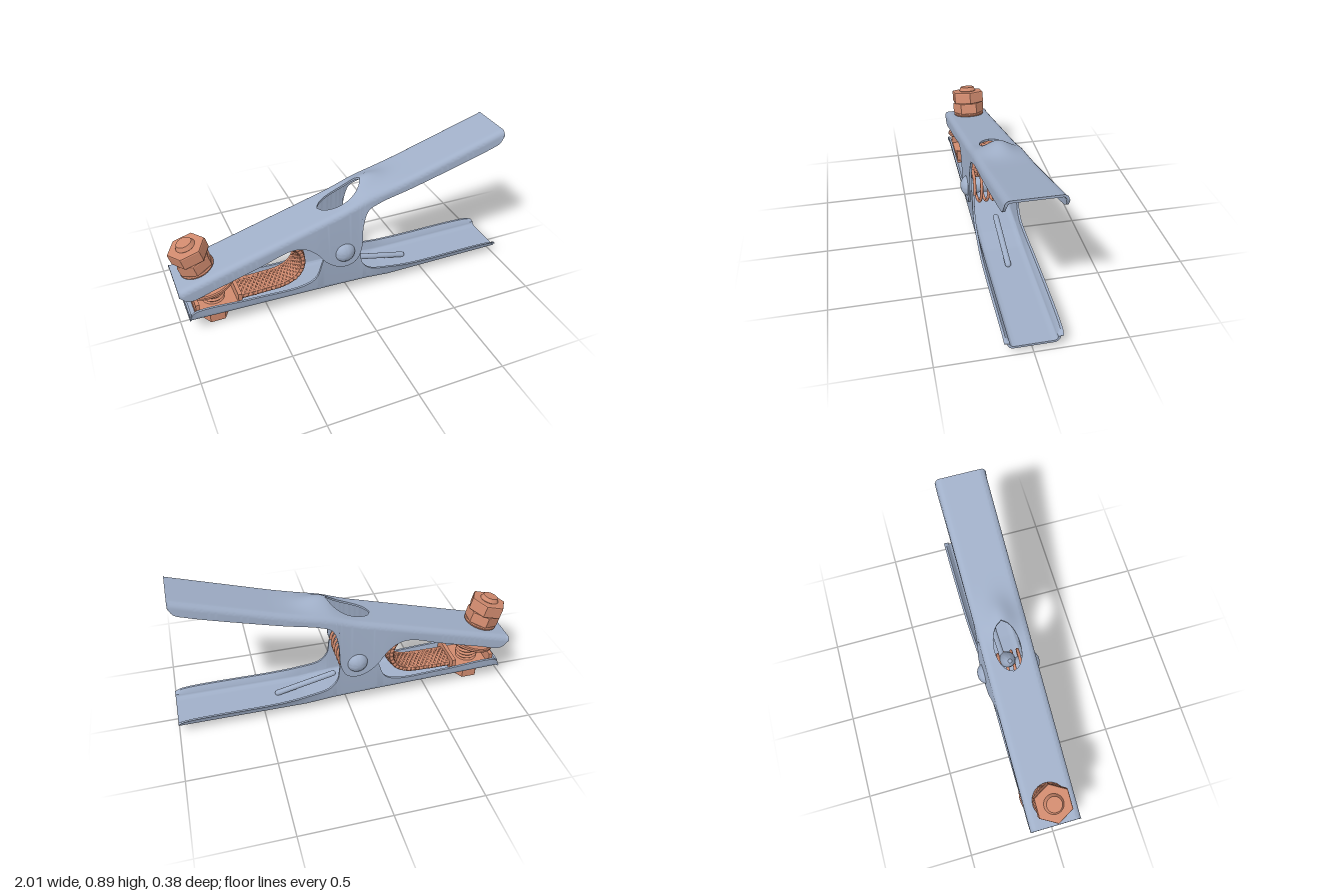
import * as THREE from 'three';
import { toCreasedNormals } from 'three/addons/utils/BufferGeometryUtils.js';

const steel = new THREE.MeshStandardMaterial({ color: 0xa0afc8, side: THREE.DoubleSide });
steel.name = 'steel';
const copper = new THREE.MeshStandardMaterial({ color: 0xd08a6e, side: THREE.DoubleSide });
copper.name = 'copper';
const V = (x, y, z = 0) => new THREE.Vector3(x, y, z);

function add(parent, name, geometry, material, x = 0, y = 0, z = 0) {
  const mesh = new THREE.Mesh(geometry, material);
  mesh.name = name;
  mesh.position.set(x, y, z);
  parent.add(mesh);
  return mesh;
}

// Piecewise linear height of a web
function lerpTable(table, x) {
  for (let i = 1; i < table.length; i++) {
    const [x0, y0] = table[i - 1], [x1, y1] = table[i];
    if (x <= x1 || i === table.length - 1) return y0 + (y1 - y0) * (x - x0) / (x1 - x0);
  }
}

// Raised ridge behind the slot of the upper arm
function ridge(x, z) {
  const u = (x - 0.12) / (x < 0.12 ? 0.1 : 0.13), v = z / 0.085;
  return 0.062 * Math.exp(-(u * u + v * v));
}

// Half width of the oval slot in the upper arm
function slot(x) {
  const u = (x + 0.025) / 0.125;
  return 0.075 * Math.sqrt(Math.max(0, 1 - u * u));
}

// Pressed channel: a web along x with flanges that end on the edge curve.
// side is 1 for flanges hanging down, -1 for flanges standing up.
function channel({ web, edge, width, side, hole = () => 0, bump = () => 0 }) {
  const T = 0.013, FLAT = 7, ARC = 6;
  const curve = new THREE.CatmullRomCurve3(edge.map(p => V(...p)), false, 'centripetal');
  const stations = curve.getSpacedPoints(200);
  const positions = [];
  for (const m of [1, -1]) {
    const rows = stations.map(({ x, y, z: flare }) => {
      const base = lerpTable(web, x);
      const depth = Math.max(0.018, side * (base - y));
      const r = Math.min(0.035, depth * 0.9), z0 = hole(x);
      const skin = t => {
        const pts = [];
        for (let j = 0; j < FLAT; j++) pts.push([z0 + (width - r - z0) * j / FLAT, t]);
        for (let j = 0; j <= ARC; j++) {
          const a = j / ARC * Math.PI / 2, q = Math.max(0.002, r - t);
          pts.push([width - r + q * Math.sin(a), r - q * Math.cos(a)]);
        }
        pts.push([width + flare - t, depth]);
        return pts;
      };
      return [...skin(0), ...skin(T).reverse()].map(([z, d]) =>
        [x, base - side * d + bump(x, z), m * z]);
    });
    const quad = (a, b, c, d) => {
      const order = side * m > 0 ? [a, b, c, a, c, d] : [a, c, b, a, d, c];
      for (const p of order) positions.push(...p);
    };
    const n = rows[0].length;
    for (let i = 0; i < rows.length - 1; i++)
      for (let j = 0; j < n; j++) {
        const k = (j + 1) % n;
        quad(rows[i][j], rows[i][k], rows[i + 1][k], rows[i + 1][j]);
      }
    // Sheet ends
    const first = rows[0], last = rows[rows.length - 1];
    for (let j = 0; j < n / 2 - 1; j++) {
      quad(first[n - 1 - j], first[n - 2 - j], first[j + 1], first[j]);
      quad(last[j], last[j + 1], last[n - 2 - j], last[n - 1 - j]);
    }
  }
  const g = new THREE.BufferGeometry();
  g.setAttribute('position', new THREE.Float32BufferAttribute(positions, 3));
  return toCreasedNormals(g, 0.7);
}

const lathe = (pts, n = 40) => toCreasedNormals(
  new THREE.LatheGeometry(pts.map(p => new THREE.Vector2(...p)), n), 0.6);

// Hexagon nut with chamfered rims, standing on y = 0
function hexNut(r, h) {
  const shape = new THREE.Shape();
  for (let i = 0; i < 6; i++) {
    const a = i * Math.PI / 3;
    shape[i ? 'lineTo' : 'moveTo']((r - 0.008) * Math.cos(a), (r - 0.008) * Math.sin(a));
  }
  shape.closePath();
  const g = new THREE.ExtrudeGeometry(shape, {
    depth: h - 0.016, bevelThickness: 0.008, bevelSize: 0.008, bevelSegments: 2 });
  return g.translate(0, 0, 0.008).rotateX(-Math.PI / 2);
}

// Threaded stud from y = 0 to h
function threadedStud(r, h) {
  const pitch = 0.022, pts = [[0, 0]];
  for (let y = 0; y < h - pitch; y += pitch) pts.push([r - 0.01, y], [r, y + pitch / 2]);
  pts.push([r - 0.012, h], [0, h]);
  return lathe(pts, 28);
}

const disc = (r, h) => lathe(
  [[0, 0], [r - 0.006, 0], [r, 0.006], [r, h - 0.006], [r - 0.006, h], [0, h]]);

export function createModel() {
  const model = new THREE.Group();
  model.name = 'groundClamp';

  // Upper handle and jaw with the oval slot and raised ridge behind it
  add(model, 'upperArm', channel({
    side: 1, width: 0.146, hole: slot, bump: ridge,
    web: [[-1, 0.32], [-0.06, 0.59], [0.1, 0.642], [0.4, 0.728], [0.95, 0.898]],
    edge: [[-1, 0.295, 0], [-0.95, 0.255, 0], [-0.8, 0.292, 0], [-0.55, 0.365, 0],
      [-0.36, 0.422, 0], [-0.28, 0.41, 0.004], [-0.21, 0.355, 0.01], [-0.165, 0.295, 0.012],
      [-0.1, 0.245, 0.012], [-0.04, 0.23, 0.012], [0.02, 0.25, 0.012], [0.055, 0.32, 0.012],
      [0.068, 0.48, 0.008], [0.1, 0.57, 0.004], [0.17, 0.602, 0], [0.4, 0.662, 0],
      [0.86, 0.797, 0.003], [0.925, 0.825, 0.004], [0.95, 0.868, 0.004]],
  }), steel);

  // Lower handle and jaw
  add(model, 'lowerArm', channel({
    side: -1, width: 0.135,
    web: [[-0.96, 0.095], [-0.1, 0.072], [0.1, 0.064], [0.25, 0.05], [1, 0.05]],
    edge: [[-0.96, 0.115, 0.003], [-0.935, 0.157, 0.004], [-0.6, 0.151, 0.004], [-0.3, 0.146, 0.003],
      [-0.22, 0.18, 0.003], [-0.17, 0.3, 0.004], [-0.12, 0.385, 0.004], [-0.05, 0.41, 0.004],
      [0.02, 0.385, 0.004], [0.055, 0.3, 0.004], [0.07, 0.21, 0.004], [0.12, 0.155, 0.006],
      [0.25, 0.128, 0.012], [0.4, 0.115, 0.018], [0.96, 0.104, 0.018], [1, 0.088, 0.016]],
  }), steel);
  add(model, 'lowerEndLip', new THREE.BoxGeometry(0.012, 0.04, 0.23), steel, -0.953, 0.118);

  // Pivot pin with domed heads
  const px = -0.045, py = 0.325;
  add(model, 'pivotPin', new THREE.CylinderGeometry(0.047, 0.047, 0.32, 32)
    .rotateX(Math.PI / 2), steel, px, py);
  for (const s of [1, -1]) {
    const head = add(model, 'rivetHead', lathe(
      [[0, -0.01], [0.056, -0.01], [0.06, 0], [0.054, 0.013], [0.04, 0.027], [0.02, 0.036], [0, 0.038]]),
      steel, px, py, s * 0.152);
    head.rotation.x = s * Math.PI / 2;
  }

  // Coil spring around the pin
  const coil = [];
  for (let i = 0; i <= 144; i++) {
    const a = i / 24 * Math.PI * 2;
    coil.push(V(px + 0.092 * Math.cos(a), py - 0.008 + 0.092 * Math.sin(a), 0.122 - 0.244 * i / 144));
  }
  add(model, 'spring', new THREE.TubeGeometry(new THREE.CatmullRomCurve3(coil), 260, 0.009, 8), copper);

  // Spring leg lying in the lower handle
  const leg = add(model, 'springLeg', new THREE.CapsuleGeometry(0.017, 0.35, 6, 16), steel, 0.235, 0.112);
  leg.rotation.z = Math.PI / 2 - 0.23;

  // Bullet-shaped tongue reaching up to the slot
  const tongue = add(model, 'tongue', lathe(
    [[0, 0], [0.046, 0], [0.045, 0.05], [0.036, 0.1], [0.024, 0.135], [0.012, 0.155], [0, 0.16]]),
    steel, -0.01, 0.37);
  tongue.rotation.z = 0.42;

  // Braided strap: flat core wrapped by interlaced strands
  const path = new THREE.CatmullRomCurve3([V(-0.66, 0.14), V(-0.5, 0.142), V(-0.38, 0.152),
    V(-0.305, 0.195), V(-0.275, 0.275), V(-0.3, 0.36), V(-0.36, 0.405), V(-0.5, 0.378), V(-0.72, 0.315)]);
  const frame = u => {
    const p = path.getPointAt(u), t = path.getTangentAt(u);
    return { p, n: V(-t.y, t.x) };
  };
  const outline = new THREE.Shape(), STEPS = 50;
  for (let i = 0; i <= 2 * STEPS + 1; i++) {
    const back = i > STEPS, { p, n } = frame((back ? 2 * STEPS + 1 - i : i) / STEPS);
    p.addScaledVector(n, back ? -0.013 : 0.013);
    outline[i ? 'lineTo' : 'moveTo'](p.x, p.y);
  }
  add(model, 'braidCore', toCreasedNormals(new THREE.ExtrudeGeometry(outline,
    { depth: 0.16, bevelEnabled: false }).translate(0, 0, -0.08), 0.7), copper);
  const STRANDS = 18;
  for (let k = 0; k < STRANDS; k++) {
    const pts = [];
    for (let i = 0; i <= 100; i++) {
      const a = (i / 100 * 4 + k / STRANDS) * Math.PI * 2;
      const { p, n } = frame(i / 100);
      p.addScaledVector(n, 0.016 * Math.cos(a));
      pts.push(p.setZ((k % 2 ? -1 : 1) * 0.084 * Math.asin(Math.sin(a)) / (Math.PI / 2)));
    }
    add(model, 'braidStrand', new THREE.TubeGeometry(new THREE.CatmullRomCurve3(pts), 130, 0.011, 6), copper);
  }

  // Lower contact: bolt and bracket with upright tabs
  add(model, 'lowerBoltHead', hexNut(0.085, 0.085), copper, -0.797, 0.003);
  add(model, 'lowerStud', threadedStud(0.065, 0.17), copper, -0.797, 0.09);
  add(model, 'bracketBase', new THREE.BoxGeometry(0.27, 0.016, 0.23), copper, -0.787, 0.117);
  for (const x of [-0.908, -0.667])
    add(model, 'bracketTab', new THREE.BoxGeometry(0.022, 0.085, 0.238), copper, x, 0.15);

  // Upper contact: washers, nuts and stud square to the upper jaw
  const upper = new THREE.Group();
  upper.name = 'upperContact';
  upper.position.set(-0.862, 0.36, 0);
  upper.rotation.z = 0.28;
  model.add(upper);
  add(upper, 'contactDisc', disc(0.152, 0.024), copper, 0.028, -0.128);
  add(upper, 'contactWasher', disc(0.115, 0.024), copper, 0.02, -0.104);
  add(upper, 'contactCollar', disc(0.085, 0.08), copper, 0.01, -0.085);
  add(upper, 'nutWasher', disc(0.098, 0.018), copper);
  add(upper, 'lowerNut', hexNut(0.1, 0.07), copper, 0, 0.016).rotation.y = 0.4;
  add(upper, 'upperNut', hexNut(0.108, 0.075), copper, 0, 0.088);
  add(upper, 'upperStud', threadedStud(0.055, 0.21), copper, 0, -0.02);

  return model;
}
